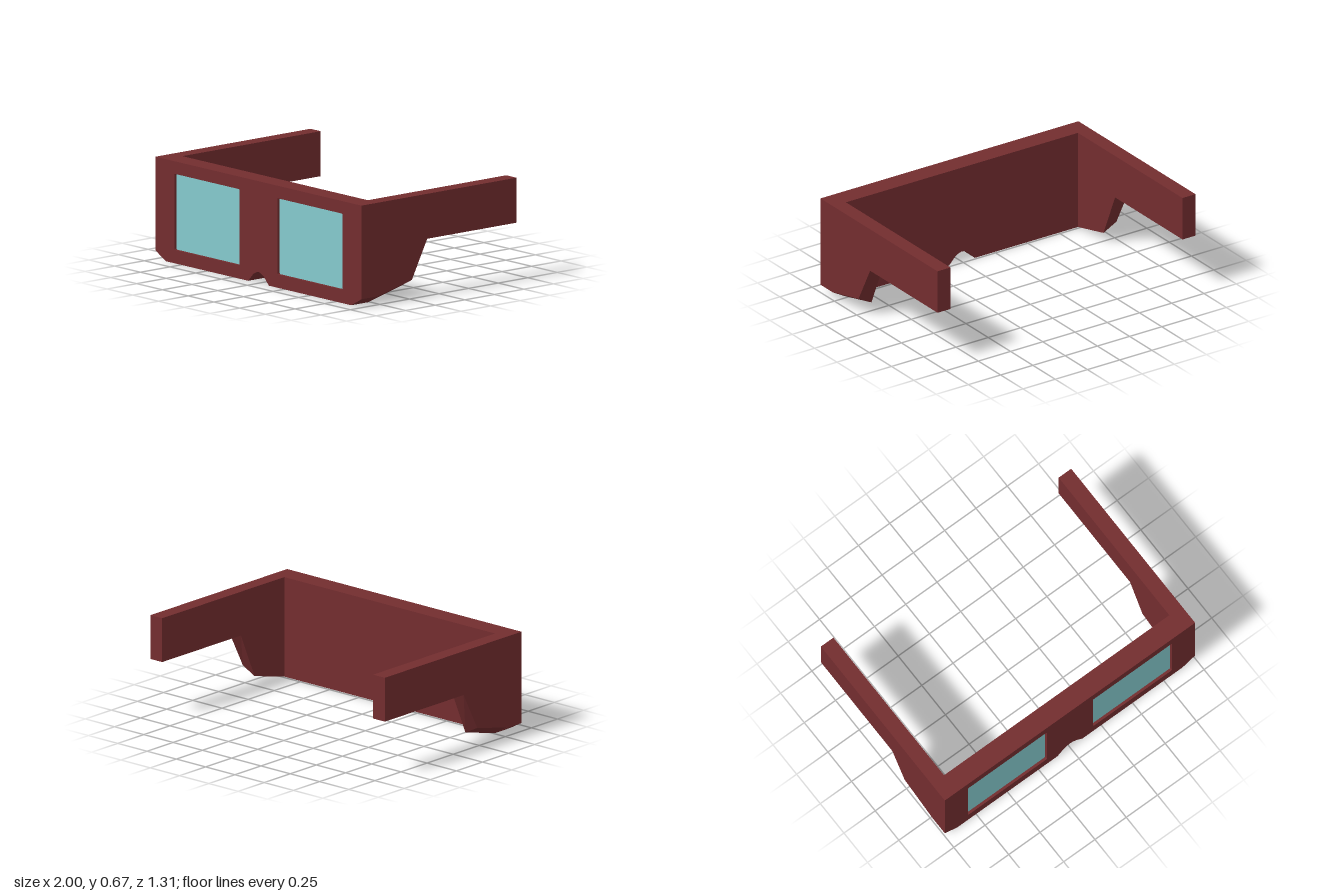
import * as THREE from 'three';

const FRONT = 0.655, WALL = 0.515, RECESS = 0.022;
const LENS = { x0: 0.185, x1: 0.815, y0: 0.087, y1: 0.583 };

// Outline of the front panel with cut corners and a nose notch
function panelShape() {
  return new THREE.Shape([
    [-1, 0.665], [-1, 0.055], [-0.9, 0], [-0.1, 0], [-0.05, 0.053], [-0.02, 0.069], [0, 0.073],
    [0.02, 0.069], [0.05, 0.053], [0.1, 0], [0.9, 0], [1, 0.055], [1, 0.665],
  ].map(([x, y]) => new THREE.Vector2(x, y)));
}

// Rectangle with slightly rounded corners
function lensOutline(path, side) {
  const { x0, x1, y0, y1 } = LENS, r = 0.008;
  const a = side > 0 ? x0 : -x1, b = side > 0 ? x1 : -x0;
  path.moveTo(a + r, y0).lineTo(b - r, y0).quadraticCurveTo(b, y0, b, y0 + r);
  path.lineTo(b, y1 - r).quadraticCurveTo(b, y1, b - r, y1);
  path.lineTo(a + r, y1).quadraticCurveTo(a, y1, a, y1 - r);
  path.lineTo(a, y0 + r).quadraticCurveTo(a, y0, a + r, y0);
  return path;
}

function extrude(shape, depth, z) {
  const g = new THREE.ExtrudeGeometry(shape, { depth, bevelEnabled: false, curveSegments: 3 });
  return g.translate(0, 0, z);
}

// Side arm: outer profile extruded inward, with the lower inner edge dropped to form the bevel
function armGeometry(side) {
  const profile = [[WALL, 0.665], [WALL, 0.057], [0.23, 0.122], [0.1, 0.372], [-0.655, 0.372], [-0.655, 0.665]];
  const g = new THREE.ExtrudeGeometry(
    new THREE.Shape(profile.map(([z, y]) => new THREE.Vector2(z, y))),
    { depth: 0.1, bevelEnabled: false });
  g.rotateY(-Math.PI / 2).translate(side > 0 ? 1 : -0.9, 0, 0);
  const p = g.attributes.position;
  for (let i = 0; i < p.count; i++) {
    if (Math.abs(p.getX(i)) < 0.95 && p.getY(i) < 0.2) {
      p.setY(i, p.getY(i) - (p.getY(i) < 0.1 ? 0.057 : 0.052));
    }
  }
  g.computeVertexNormals();
  return g;
}

export function createModel() {
  const group = new THREE.Group();
  const frameRed = new THREE.MeshStandardMaterial({ name: 'frameRed', color: 0x732d2f });
  const lensCyan = new THREE.MeshStandardMaterial({ name: 'lensCyan', color: 0x84cacd });
  const add = (name, geometry, material) => {
    const mesh = new THREE.Mesh(geometry, material);
    mesh.name = name;
    group.add(mesh);
  };

  // Solid back of the panel, then a front layer with lens openings
  add('panelBack', extrude(panelShape(), FRONT - RECESS - WALL, WALL), frameRed);
  const rim = panelShape();
  for (const side of [-1, 1]) rim.holes.push(lensOutline(new THREE.Path(), side));
  add('panelRim', extrude(rim, RECESS, FRONT - RECESS), frameRed);

  // Recessed lenses and side arms
  for (const side of [-1, 1]) {
    const label = side > 0 ? 'left' : 'right';
    add(label + 'Lens', extrude(lensOutline(new THREE.Shape(), side), 0.004, FRONT - RECESS), lensCyan);
    add(label + 'Arm', armGeometry(side), frameRed);
  }
  return group;
}
